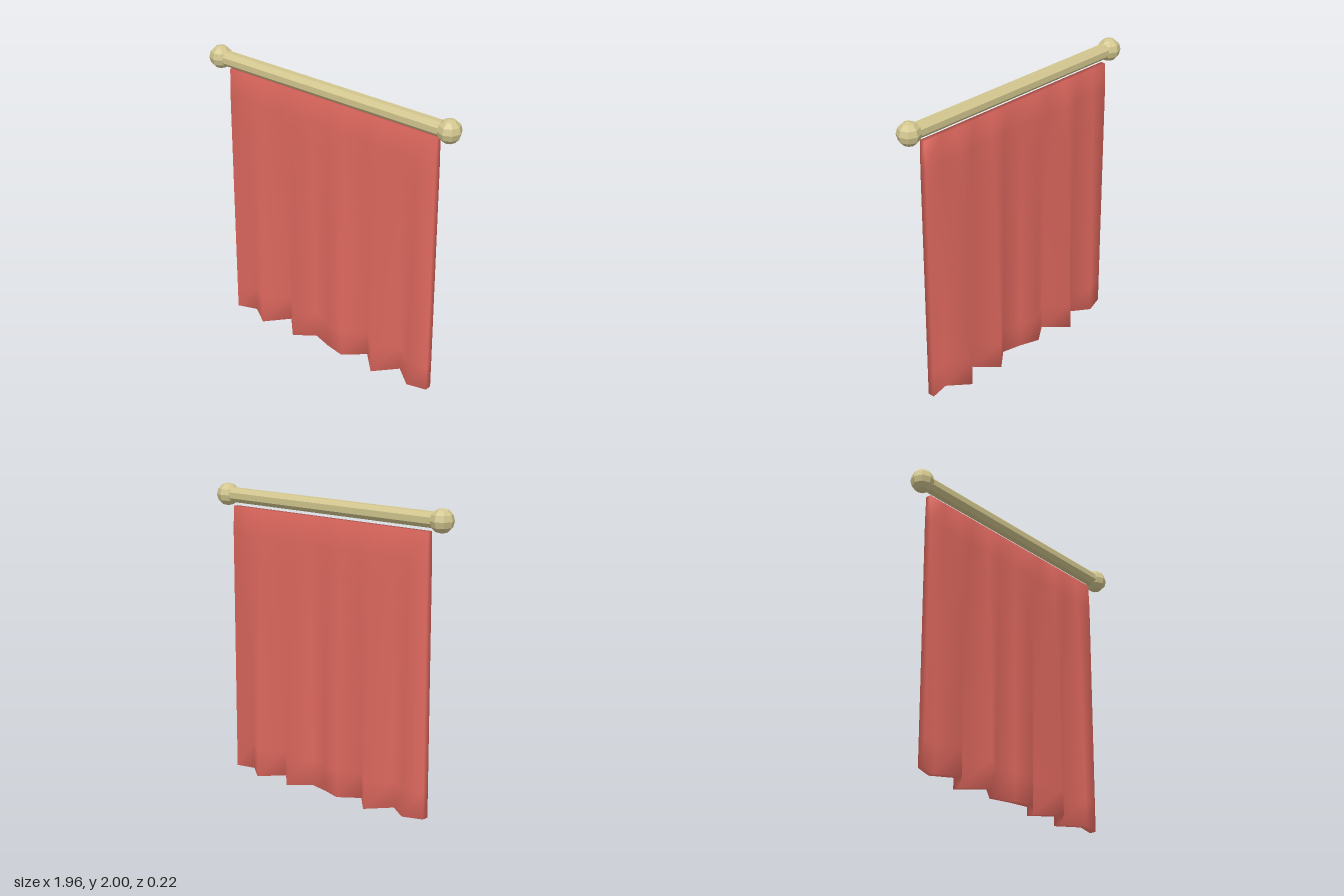
import * as THREE from 'three';
import { mergeVertices } from 'three/addons/utils/BufferGeometryUtils.js';

const ROD_Y = 1.92, ROD_Z = 0.03;
const CLOTH_HEIGHT = 1.85, CLOTH_WIDTH = 1.64;

// Depth of each pleat at the hem, from the -x edge to the +x edge
const PLEATS = [0.015, -0.03, 0.065, -0.085, 0.065, -0.03, 0.015, 0.045, -0.07, 0.075, -0.07, 0.045, 0.015];

// Thin closed slab whose columns fan out into pleats towards the hem
function clothGeometry() {
  const columns = PLEATS.length - 1;
  let geometry = new THREE.BoxGeometry(CLOTH_WIDTH, CLOTH_HEIGHT, 1, columns, 10, 1);
  geometry.deleteAttribute('uv');
  geometry.deleteAttribute('normal');
  geometry = mergeVertices(geometry);
  const p = geometry.attributes.position;
  for (let i = 0; i < p.count; i++) {
    const x = p.getX(i);
    const drop = THREE.MathUtils.clamp(0.5 - p.getY(i) / CLOTH_HEIGHT, 0, 1);
    const column = Math.round((x / CLOTH_WIDTH + 0.5) * columns);
    const middle = THREE.MathUtils.lerp(0.012, PLEATS[column], Math.pow(drop, 0.65));
    const halfThickness = drop < 0.01 ? 0.018 : 0.024;
    p.setXYZ(i, x - 0.005, (1 - drop) * CLOTH_HEIGHT, middle + Math.sign(p.getZ(i)) * halfThickness);
  }
  geometry.computeVertexNormals();
  return geometry;
}

export function createModel() {
  const group = new THREE.Group();
  const clothMaterial = new THREE.MeshStandardMaterial({ color: 0xe0695f });
  const rodMaterial = new THREE.MeshStandardMaterial({ color: 0xd2c68f, flatShading: true });

  function add(name, geometry, material, x, y, z) {
    const mesh = new THREE.Mesh(geometry, material);
    mesh.name = name;
    mesh.position.set(x, y, z);
    group.add(mesh);
  }

  // Hanging cloth
  add('cloth', clothGeometry(), clothMaterial, 0, 0, 0);

  // Faceted rod lying along x
  const rod = new THREE.CylinderGeometry(0.052, 0.052, 1.76, 8);
  rod.rotateY(Math.PI / 8).rotateZ(Math.PI / 2);
  add('rod', rod, rodMaterial, 0, ROD_Y, ROD_Z);

  // Knobs on both ends of the rod
  const knob = new THREE.SphereGeometry(0.078, 8, 6);
  add('leftKnob', knob, rodMaterial, 0.9, ROD_Y, ROD_Z);
  add('rightKnob', knob, rodMaterial, -0.9, ROD_Y, ROD_Z);

  return group;
}
